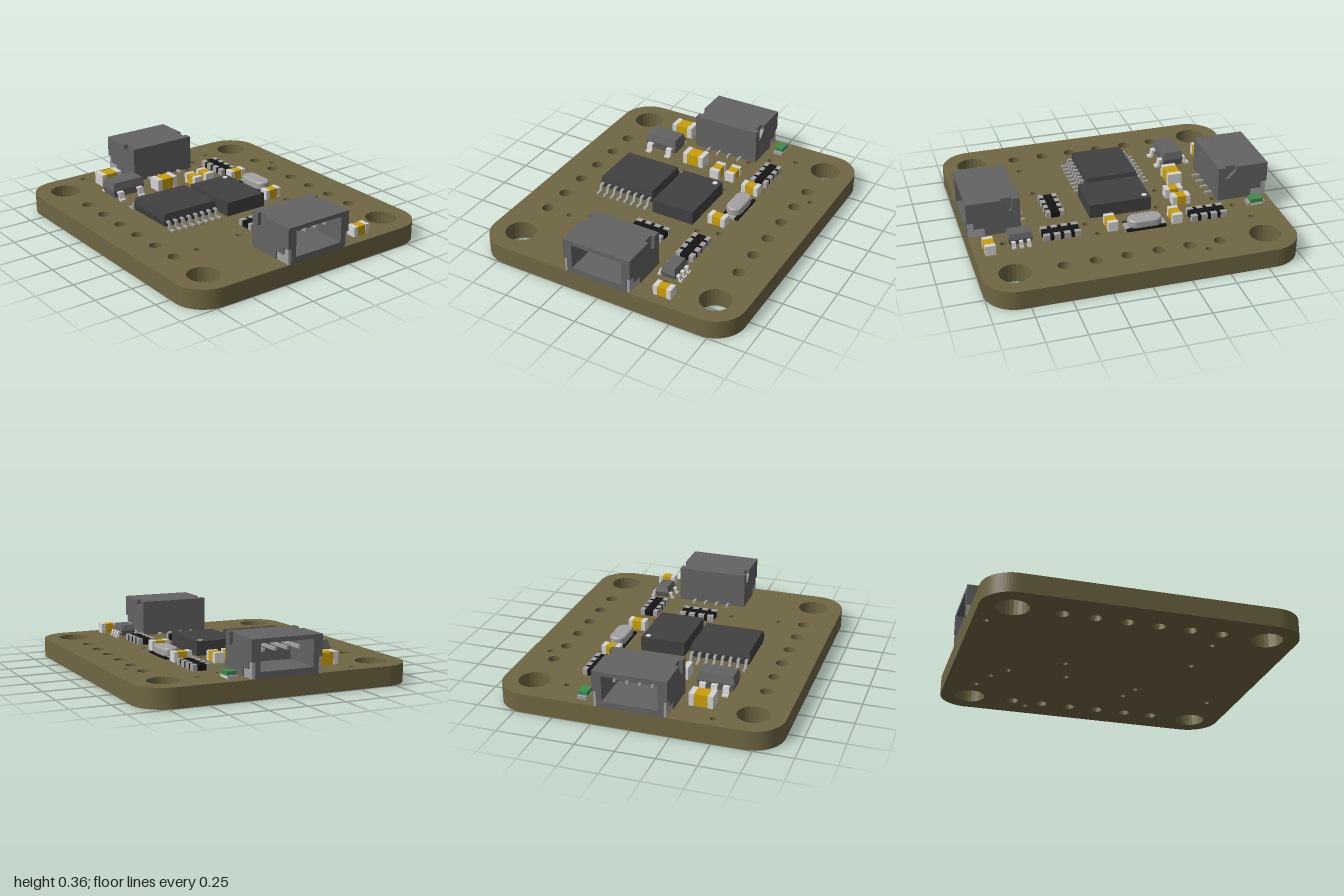
import * as THREE from 'three';

const TOP = 0.125; // upper face of the board

const mat = (name, color) => {
  const m = new THREE.MeshStandardMaterial({ color });
  m.name = name;
  return m;
};
const M = {
  board: mat('olive board', 0x6f6642),
  housing: mat('grey housing', 0x636363),
  chip: mat('dark chip', 0x414141),
  black: mat('black', 0x141414),
  white: mat('pale terminal', 0xd4d4d4),
  metal: mat('metal', 0xa2a2a2),
  gold: mat('gold', 0xcb9f06),
  green: mat('green', 0x3f8c4a),
};

function add(parent, name, geo, material) {
  const mesh = new THREE.Mesh(geo, material);
  mesh.name = name;
  parent.add(mesh);
  return mesh;
}

function group(parent, name, x = 0, z = 0, turn = 0, y = TOP) {
  const g = new THREE.Group();
  g.name = name;
  g.position.set(x, y, z);
  g.rotation.y = turn;
  parent.add(g);
  return g;
}

// Box given by its limits on each axis
function box(parent, name, material, x0, x1, y0, y1, z0, z1) {
  const geo = new THREE.BoxGeometry(x1 - x0, y1 - y0, z1 - z0);
  geo.translate((x0 + x1) / 2, (y0 + y1) / 2, (z0 + z1) / 2);
  return add(parent, name, geo, material);
}

function roundedRect(w, d, r) {
  const s = new THREE.Shape();
  s.absarc(w - r, d - r, r, 0, Math.PI / 2);
  s.absarc(-w + r, d - r, r, Math.PI / 2, Math.PI);
  s.absarc(-w + r, -d + r, r, Math.PI, Math.PI * 1.5);
  s.absarc(w - r, -d + r, r, Math.PI * 1.5, Math.PI * 2);
  s.closePath();
  return s;
}

// Moulded package body, widest at mid height
function moulded(parent, w, d, y0, y1, inset, material) {
  const h = y1 - y0;
  let geo = new THREE.BoxGeometry(w, h, d, 1, 2, 1);
  const p = geo.attributes.position;
  for (let i = 0; i < p.count; i++) {
    if (Math.abs(p.getY(i)) > h / 4) {
      p.setX(i, p.getX(i) - Math.sign(p.getX(i)) * inset);
      p.setZ(i, p.getZ(i) - Math.sign(p.getZ(i)) * inset);
    }
  }
  geo = geo.toNonIndexed();
  geo.computeVertexNormals();
  geo.translate(0, (y0 + y1) / 2, 0);
  return add(parent, 'packageBody', geo, material);
}

// Bent lead running outwards along local +x
function lead(parent, x, z, turn, len, h, w, material) {
  const t = 0.012;
  const s = new THREE.Shape([
    [-0.01, h], [-0.01, h - t], [len * 0.25, h - t], [len * 0.4, 0],
    [len, 0], [len, t], [len * 0.4 + t, t], [len * 0.25 + t, h],
  ].map(([a, b]) => new THREE.Vector2(a, b)));
  const geo = new THREE.ExtrudeGeometry(s, { depth: w, bevelEnabled: false });
  geo.translate(0, 0, -w / 2);
  const m = add(parent, 'lead', geo, material);
  m.position.set(x, 0, z);
  m.rotation.y = turn;
}

function board(root) {
  const s = roundedRect(1, 0.9, 0.2);
  const hole = (x, z, r) => s.holes.push(new THREE.Path().absarc(x, z, r, 0, Math.PI * 2, true));
  for (const z of [-0.7, 0.7]) {
    for (const x of [-0.8, 0.8]) hole(x, z, 0.1);
    for (let i = 0; i < 6; i++) hole(-0.5 + i * 0.2, z, 0.04);
  }
  const vias = [[-0.4, -0.77], [-0.8, -0.48], [-0.735, -0.315], [-0.64, -0.2], [-0.25, -0.2], [0.205, -0.41],
    [0.25, -0.275], [0.8, -0.36], [-0.31, 0.01], [0.48, 0.2], [0.5, 0.53], [-0.92, 0.49]];
  for (const [x, z] of vias) hole(x, z, 0.02);
  const geo = new THREE.ExtrudeGeometry(s, { depth: TOP, bevelEnabled: false, curveSegments: 12 });
  geo.rotateX(Math.PI / 2).translate(0, TOP, 0);
  add(root, 'board', geo, M.board);
}

// Socket opening towards +x
function connector(root, name, turn) {
  const g = group(root, name, 0, 0, turn, 0);
  const H = M.housing;
  box(g, 'socketFloor', H, 0.66, 1, TOP, 0.165, -0.205, 0.205);
  box(g, 'socketRoof', H, 0.66, 1, 0.333, 0.36, -0.21, 0.21);
  box(g, 'socketBack', H, 0.66, 0.72, 0.165, 0.333, -0.21, 0.21);
  const cheek = new THREE.Shape([
    [0.66, 0.125], [0.89, 0.125], [0.89, 0.18], [0.96, 0.18], [0.96, 0.225], [1, 0.225],
    [1, 0.36], [0.78, 0.36], [0.78, 0.33], [0.73, 0.28], [0.66, 0.275],
  ].map(([a, b]) => new THREE.Vector2(a, b)));
  for (const s of [-1, 1]) {
    const mid = s * 0.1925;
    box(g, 'socketWall', H, 0.66, 1, TOP, 0.345, mid - 0.0175, mid + 0.0175);
    const geo = new THREE.ExtrudeGeometry(cheek, { depth: 0.025, bevelEnabled: false });
    geo.translate(0, 0, s > 0 ? 0.21 : -0.235);
    add(g, 'socketCheek', geo, H);
    // solder tab, stepped
    const a = s * 0.218;
    box(g, 'solderTab', M.metal, 0.89, 0.995, TOP, 0.18, a - 0.01, a + 0.01);
    box(g, 'solderTab', M.metal, 0.96, 0.995, 0.18, 0.225, a - 0.01, a + 0.01);
    // recessed shoulder behind each cheek
    box(g, 'shoulder', H, 0.66, 0.71, 0.27, 0.36, s * 0.2175 - 0.0165, s * 0.2175 + 0.0165);
  }
  for (let i = 0; i < 4; i++) {
    const z = -0.12 + i * 0.08;
    box(g, 'contactPin', M.metal, 0.72, 0.93, 0.268, 0.288, z - 0.008, z + 0.008);
    box(g, 'contactTail', M.metal, 0.61, 0.67, TOP, 0.14, z - 0.008, z + 0.008);
  }
}

// Two-terminal part lying along local x
function chipPart(root, name, x, z, turn, len, w, h, end, core, terminal) {
  const g = group(root, name, x, z, turn);
  const a = len / 2 - end;
  box(g, 'core', core, -a, a, 0, h - 0.002, -w / 2 + 0.002, w / 2 - 0.002);
  for (const s of [-1, 1]) {
    const c = s * (a + end / 2);
    box(g, 'terminal', terminal, c - end / 2, c + end / 2, 0, h, -w / 2, w / 2);
  }
}

// Black strip with four terminals on each long edge
function resistorArray(root, x, z, turn) {
  const g = group(root, 'resistorArray', x, z, turn);
  box(g, 'strip', M.black, -0.118, 0.118, 0, 0.037, -0.056, 0.056);
  for (let i = 0; i < 4; i++) {
    const c = -0.099 + i * 0.066;
    for (const s of [-1, 1]) {
      box(g, 'terminal', M.metal, c - 0.021, c + 0.021, 0, 0.04, s * 0.045 - 0.015, s * 0.045 + 0.015);
    }
  }
}

// Small moulded part: three leads on the -x side, two on the +x side
function smallPackage(root, name, x, z, turn, w, d, h, pitch, reach, leadW) {
  const g = group(root, name, x, z, turn);
  moulded(g, w, d, 0.012, h, 0.01, M.housing);
  for (const k of [-1, 0, 1]) {
    lead(g, -w / 2, k * pitch, Math.PI, reach, h * 0.5, leadW, M.white);
    if (k) lead(g, w / 2, k * pitch, 0, reach, h * 0.5, leadW, M.white);
  }
}

export function createModel() {
  const root = new THREE.Group();
  root.name = 'circuitBoard';
  const Q = Math.PI / 2;

  board(root);
  connector(root, 'leftConnector', 0);
  connector(root, 'rightConnector', Math.PI);

  // Flat square chip with corner dot
  const flat = group(root, 'mainChip', 0, -0.068);
  box(flat, 'packageBody', M.chip, -0.205, 0.205, 0, 0.093, -0.148, 0.148);
  const dot = add(flat, 'cornerDot', new THREE.CylinderGeometry(0.018, 0.018, 0.004, 20), M.white);
  dot.position.set(-0.17, 0.094, -0.11);

  // Chip with rows of bent leads
  const wide = group(root, 'leadedChip', -0.043, 0.32);
  moulded(wide, 0.355, 0.4, 0.012, 0.097, 0.008, M.chip);
  for (let i = 0; i < 8; i++) {
    const z = -0.18 + i * 0.0515;
    lead(wide, 0.174, z, 0, 0.082, 0.055, 0.018, M.metal);
    lead(wide, -0.174, z, Math.PI, 0.082, 0.055, 0.018, M.metal);
  }

  smallPackage(root, 'regulator', -0.53, 0.405, 0, 0.14, 0.24, 0.113, 0.075, 0.052, 0.04);
  smallPackage(root, 'smallSwitch', 0.7, -0.363, -Q, 0.1, 0.155, 0.085, 0.048, 0.033, 0.024);

  resistorArray(root, -0.525, -0.383, 0);
  resistorArray(root, 0.433, -0.35, 0);
  resistorArray(root, 0.413, -0.02, Q);

  // Crystal: pill-shaped can on a black base
  const crystal = group(root, 'crystal', -0.105, -0.39);
  box(crystal, 'base', M.black, -0.13, 0.13, 0, 0.012, -0.058, 0.058);
  for (const s of [-1, 1]) {
    box(crystal, 'pad', M.metal, s * 0.118 - 0.016, s * 0.118 + 0.016, 0, 0.016, -0.035, 0.035);
  }
  const pill = new THREE.ExtrudeGeometry(roundedRect(0.1, 0.042, 0.0419), {
    depth: 0.03, bevelThickness: 0.013, bevelSize: 0.012, bevelSegments: 3, curveSegments: 8,
  });
  pill.rotateX(-Q).translate(0, 0.022, 0);
  add(crystal, 'can', pill, M.metal);

  // Capacitors: x, z, turn
  const small = [[-0.313, -0.375, Q], [0.106, -0.35, Q], [0.9, -0.41, Q], [-0.415, -0.187, 0], [-0.4, -0.08, 0]];
  for (const [x, z, t] of small) chipPart(root, 'smallCapacitor', x, z, t, 0.12, 0.066, 0.065, 0.03, M.gold, M.white);
  for (const [x, z] of [[-0.46, 0.125], [-0.765, 0.38]]) {
    chipPart(root, 'largeCapacitor', x, z, Q, 0.154, 0.096, 0.08, 0.034, M.gold, M.white);
  }

  // Indicator lamp
  chipPart(root, 'indicatorBase', -0.886, -0.325, 0, 0.118, 0.06, 0.022, 0.018, M.white, M.metal);
  const lamp = group(root, 'indicatorLamp', -0.886, -0.325);
  box(lamp, 'lens', M.green, -0.043, 0.043, 0.018, 0.045, -0.03, 0.03);

  return root;
}
